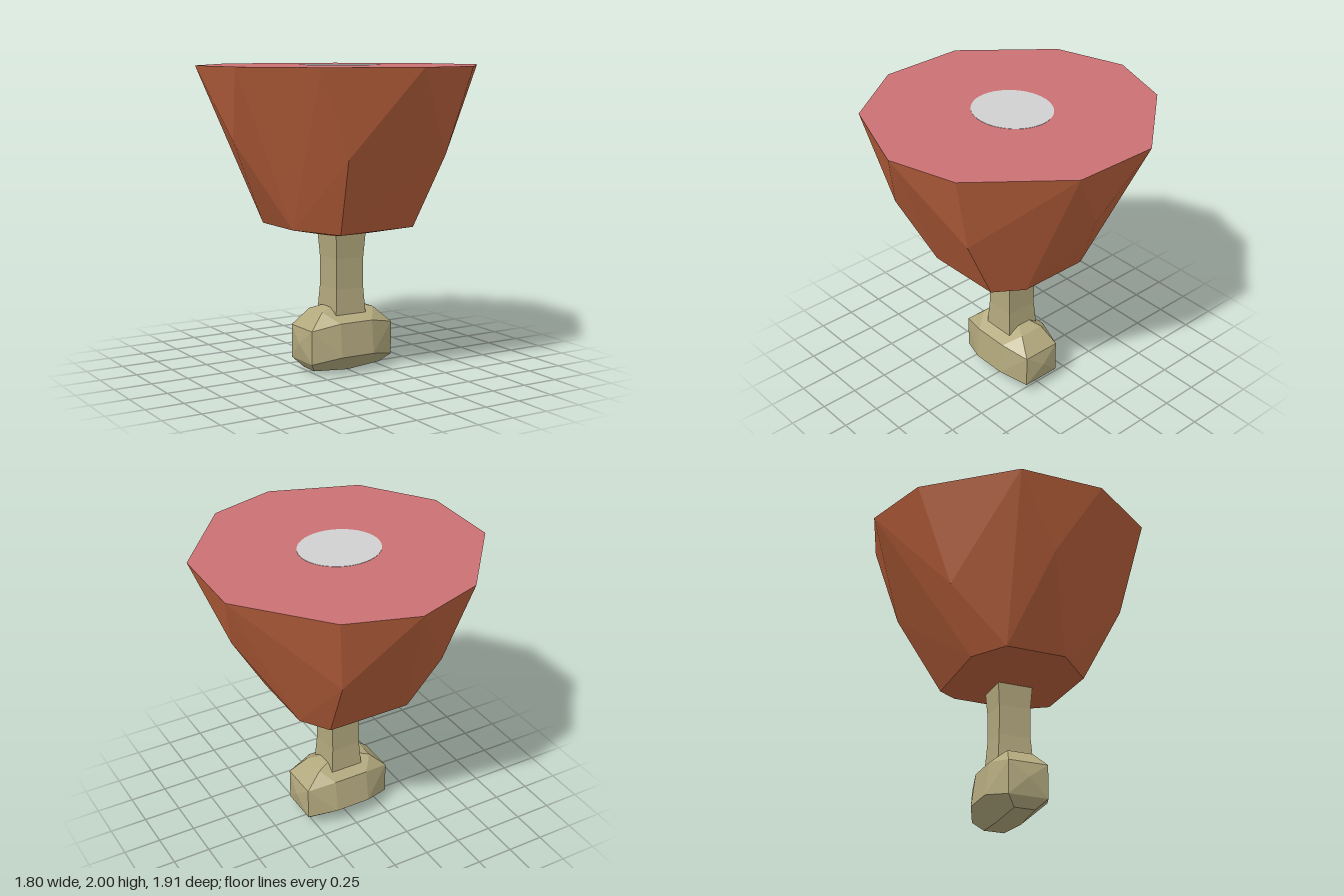
import * as THREE from 'three';
import { ConvexGeometry } from 'three/addons/geometries/ConvexGeometry.js';

const mat = (name, color) => {
  const m = new THREE.MeshStandardMaterial({ color });
  m.name = name;
  return m;
};

// faceted solid wrapped around a few corner points
const hull = (points) => new ConvexGeometry(points.map((p) => new THREE.Vector3(...p)));

export function createModel() {
  const roast = mat('roasted brown', 0xbc623d);
  const flesh = mat('pink flesh', 0xcb7074);
  const marrow = mat('pale grey', 0xd0d0d0);
  const boneMat = mat('bone', 0xb3a97e);

  const group = new THREE.Group();
  group.name = 'meatOnBone';
  const add = (name, geometry, material) => {
    const mesh = new THREE.Mesh(geometry, material);
    mesh.name = name;
    group.add(mesh);
    return mesh;
  };

  // meat: cut rim, belly corners, lower rim and the small underside
  const cutRim = [
    [0, -0.96], [0.45, -0.81], [0.9, -0.28], [0.89, 0.28], [0.45, 0.82],
    [0, 0.95], [-0.58, 0.74], [-0.9, 0.28], [-0.9, -0.28], [-0.46, -0.81],
  ].map(([x, z]) => [x, 2, z]);
  const belly = [
    [0.75, 1.54, 0], [0.355, 1.45, 0.67], [-0.35, 1.45, 0.67],
    [-0.78, 1.54, 0], [-0.42, 1.37, -0.56], [0.35, 1.45, -0.66],
  ];
  const lowerRim = [
    [-0.26, 0.96, 0.43], [0.28, 0.975, 0.43], [0.41, 0.98, 0.25], [0.41, 0.98, -0.22],
    [0.27, 0.95, -0.37], [-0.3, 0.95, -0.37], [-0.47, 0.98, -0.2], [-0.47, 0.98, 0.2],
  ];
  const underside = [];
  for (const x of [-0.1, 0.1]) for (const z of [-0.1, 0.1]) underside.push([x, 0.9, z]);
  const meat = hull([...cutRim, ...belly, ...lowerRim, ...underside]);

  // the flat cut on top is pink, every other face is roasted
  const pos = meat.attributes.position;
  for (let i = 0; i < pos.count; i += 3) {
    const onCut = [0, 1, 2].every((k) => pos.getY(i + k) > 1.999);
    meat.addGroup(i, 3, onCut ? 1 : 0);
  }
  add('meat', meat, [roast, flesh]);

  // round end of the bone in the cut
  const disc = new THREE.CylinderGeometry(1, 1, 0.006, 40);
  disc.scale(0.268, 1, 0.247);
  disc.translate(-0.005, 1.999, 0);
  add('boneCut', disc, marrow);

  // square shaft with a slight waist
  let shaft = new THREE.CylinderGeometry(0.163, 0.163, 0.6, 4, 3, true);
  shaft.rotateY(Math.PI / 4);
  shaft.translate(0, 0.65, 0.01);
  const sp = shaft.attributes.position;
  for (let i = 0; i < sp.count; i++) {
    const y = sp.getY(i);
    const waist = y > 0.5 && y < 0.8 ? 0.88 : 1;
    sp.setX(i, sp.getX(i) * waist);
    sp.setZ(i, 0.01 + (sp.getZ(i) - 0.01) * (waist + 0.06));
  }
  shaft = shaft.toNonIndexed();
  shaft.computeVertexNormals();
  add('boneShaft', shaft, boneMat);

  // wide knuckle, mirrored left and right
  const corners = [];
  for (const s of [-1, 1]) {
    corners.push(
      [0.325, 0.2, 0.01],
      [0.305, 0.3, 0.145], [0.305, 0.3, -0.12],
      [0.305, 0.08, 0.145], [0.305, 0.08, -0.12],
      [0.195, 0.405, 0.09], [0.195, 0.405, -0.08],
      [0.12, 0.425, 0.05], [0.12, 0.425, -0.05],
      [0.12, 0.34, 0.2], [0.12, 0.34, -0.17],
      [0.12, 0.12, 0.22], [0.12, 0.12, -0.2],
      [0.25, 0.018, 0.08], [0.25, 0.018, -0.06],
    );
    for (const c of corners.slice(-15)) c[0] *= s;
  }
  corners.push([0, 0, 0.09], [0, 0, -0.07]);
  add('boneKnuckle', hull(corners), boneMat);

  return group;
}
